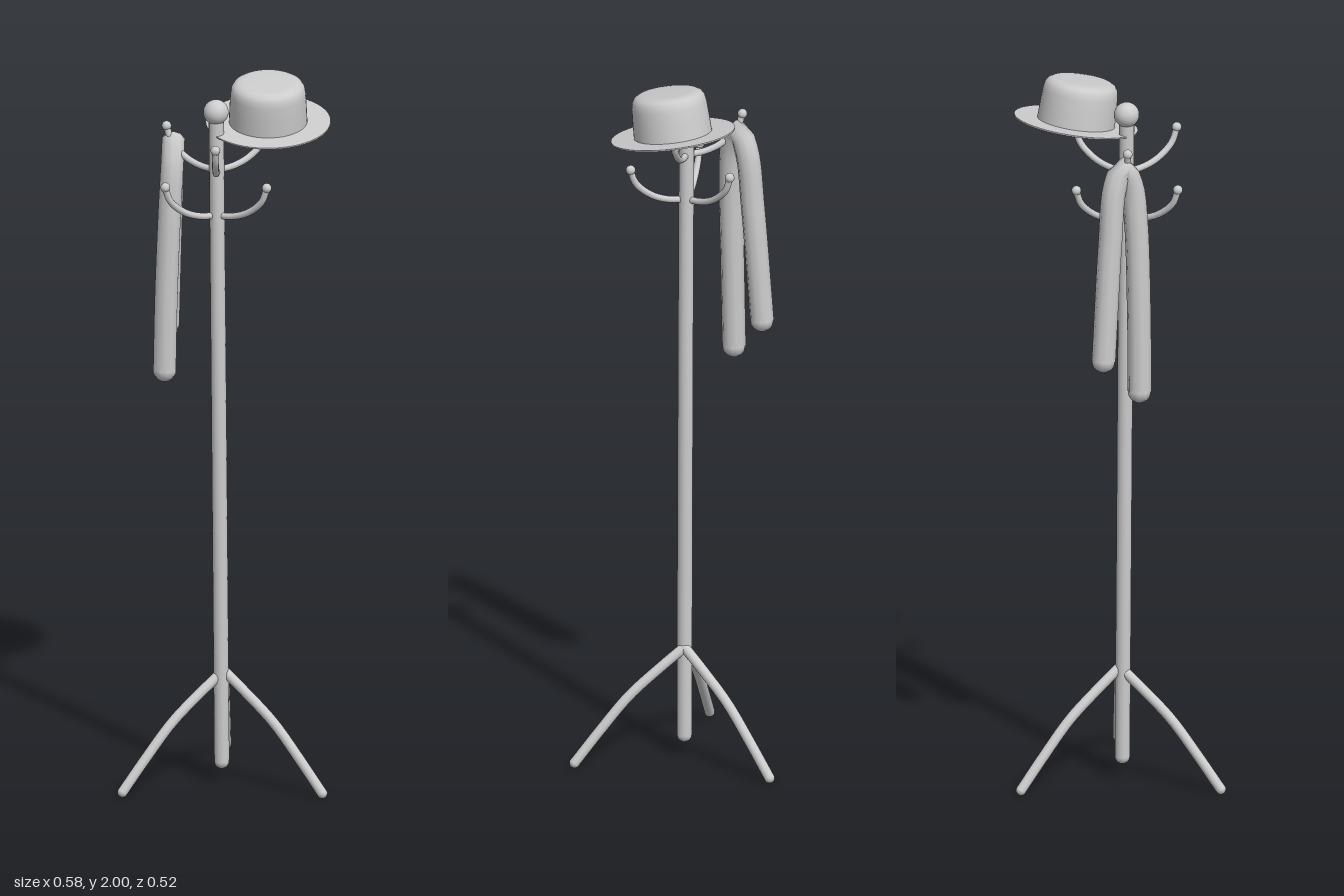
import * as THREE from 'three';

const grey = new THREE.MeshStandardMaterial({ color: 0xcccccc });
grey.name = 'light grey';

const v = (x, y, z) => new THREE.Vector3(x, y, z);

function add(parent, name, geometry, position) {
  const mesh = new THREE.Mesh(geometry, grey);
  mesh.name = name;
  if (position) mesh.position.copy(position);
  parent.add(mesh);
  return mesh;
}

// Tube through points, closed with a rounded end at each side
function roundedTube(parent, name, points, radius, segments, sides) {
  const group = new THREE.Group();
  group.name = name;
  add(group, name + 'Tube', new THREE.TubeGeometry(new THREE.CatmullRomCurve3(points), segments, radius, sides));
  for (const p of [points[0], points[points.length - 1]]) {
    add(group, name + 'End', new THREE.SphereGeometry(radius, sides, 8), p);
  }
  parent.add(group);
  return group;
}

export function createModel() {
  const model = new THREE.Group();
  model.name = 'coatStand';

  // Slightly leaning pole with a ball on top
  roundedTube(model, 'pole', [v(-0.005, 0.06, 0.08), v(-0.012, 0.95, 0.083), v(-0.02, 1.89, 0.085)], 0.021, 8, 16);
  add(model, 'finial', new THREE.SphereGeometry(0.035, 24, 16), v(-0.021, 1.92, 0.084));

  // Three bowed legs, the first pointing back
  for (let i = 0; i < 3; i++) {
    const a = Math.PI + (i * Math.PI * 2) / 3;
    const at = (r, y) => v(Math.sin(a) * r, y, 0.075 + Math.cos(a) * r);
    roundedTube(model, 'leg', [at(0, 0.318), at(0.07, 0.266), at(0.16, 0.193), at(0.24, 0.105), at(0.317, 0.014)], 0.0145, 14, 12);
  }

  // Two tiers of three curved hooks with ball tips, staggered by 60 degrees
  for (const [base, turn] of [[1.755, 0], [1.625, Math.PI / 3]]) {
    for (let i = 0; i < 3; i++) {
      const a = turn + (i * Math.PI * 2) / 3;
      const at = (r, h) => v(-0.019 + Math.sin(a) * r, base + h, 0.085 + Math.cos(a) * r);
      roundedTube(model, 'hook', [at(0, 0), at(0.05, 0.004), at(0.1, 0.022), at(0.145, 0.06), at(0.161, 0.1)], 0.0095, 18, 10);
      add(model, 'hookTip', new THREE.SphereGeometry(0.0135, 14, 10), at(0.161, 0.102));
    }
  }

  // Scarf draped over a hook
  roundedTube(model, 'scarf', [
    v(-0.163, 1.168, 0.04), v(-0.158, 1.4, 0.041), v(-0.148, 1.65, 0.038), v(-0.142, 1.76, 0.027),
    v(-0.14, 1.811, 0), v(-0.142, 1.76, -0.027), v(-0.147, 1.6, -0.045), v(-0.156, 1.272, -0.071),
  ], 0.033, 48, 10);

  // Tilted hat: flat brim and rounded crown
  const hat = new THREE.Group();
  hat.name = 'hat';
  hat.position.set(0.121, 1.871, 0.007);
  hat.rotation.x = 0.165;
  add(hat, 'brim', new THREE.CylinderGeometry(0.172, 0.172, 0.004, 48));
  const profile = [
    [0.108, 0], [0.106, 0.05], [0.104, 0.085], [0.101, 0.102], [0.094, 0.113], [0.083, 0.119], [0.065, 0.121], [0, 0.121],
  ].map(([x, y]) => new THREE.Vector2(x, y));
  add(hat, 'crown', new THREE.LatheGeometry(profile, 48));
  model.add(hat);

  return model;
}
